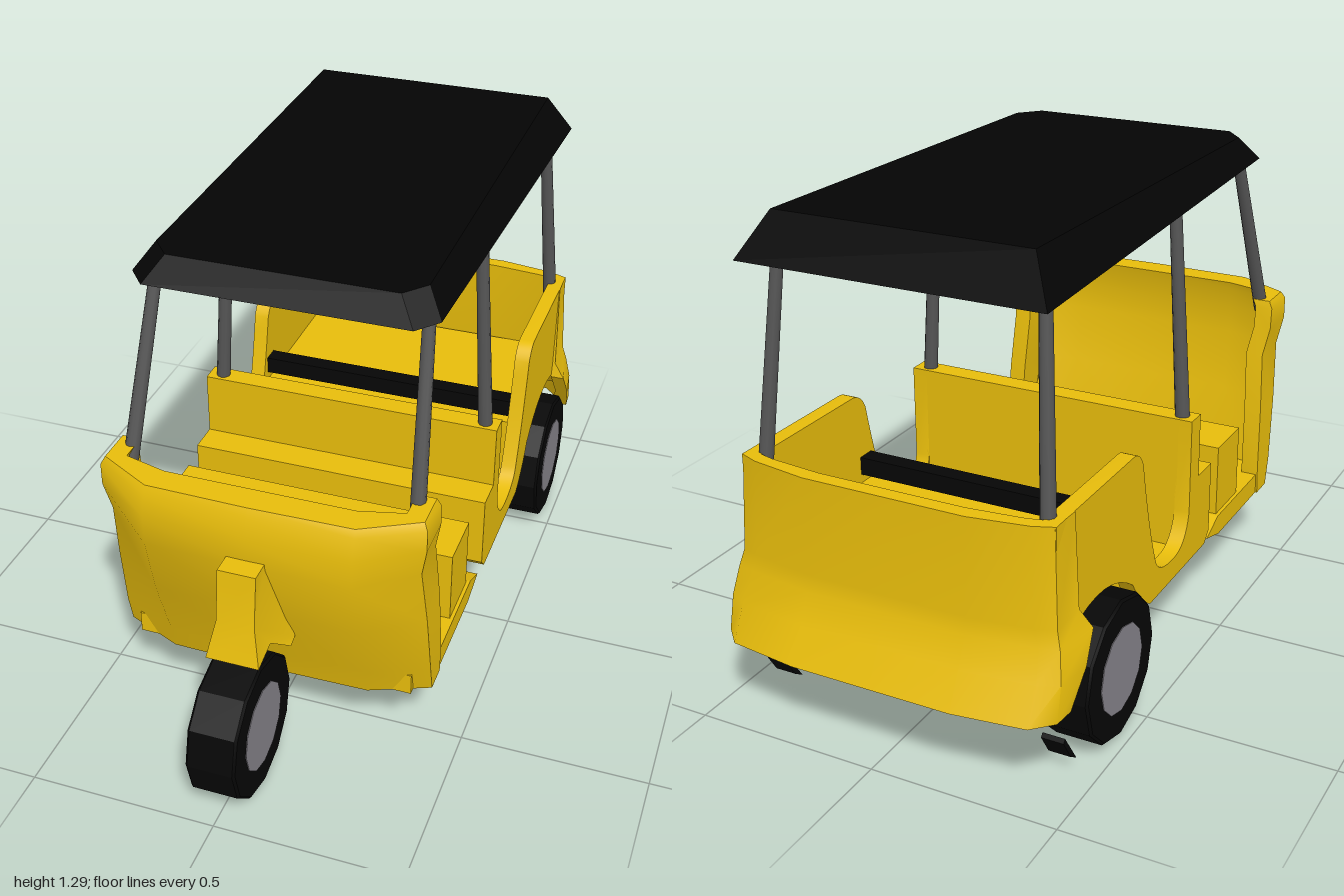
import * as THREE from 'three';
import { toCreasedNormals } from 'three/addons/utils/BufferGeometryUtils.js';

const mat = (name, color, side = THREE.FrontSide) => {
  const m = new THREE.MeshStandardMaterial({ color, side });
  m.name = name;
  return m;
};

export function createModel() {
  const paint = mat('yellow paint', 0xeec20c, THREE.DoubleSide);
  const black = mat('black canopy', 0x040404, THREE.DoubleSide);
  const rubber = mat('black rubber', 0x060606);
  const steel = mat('dark steel', 0x555555);
  const grey = mat('light grey metal', 0x86838a);

  const model = new THREE.Group();
  const add = (name, geometry, material, x = 0, y = 0, z = 0) => {
    const mesh = new THREE.Mesh(geometry, material);
    mesh.name = name;
    mesh.position.set(x, y, z);
    model.add(mesh);
    return mesh;
  };

  // Side profile in (z, y), extruded from x0 to x1
  const slab = (shape, x0, x1) => new THREE.ExtrudeGeometry(shape, { depth: x1 - x0, bevelEnabled: false, curveSegments: 8 })
    .rotateY(-Math.PI / 2).translate(x1, 0, 0);
  const poly = (pts) => new THREE.Shape(pts.map(([z, y]) => new THREE.Vector2(z, y)));

  // Mesh from equal closed loops of [x, y, z], plus extra cap triangles
  const loft = (loops, caps, crease) => {
    const n = loops[0].length;
    const index = [...caps];
    for (let r = 0; r < loops.length - 1; r++) {
      for (let i = 0; i < n; i++) {
        const a = r * n + i, b = r * n + (i + 1) % n;
        index.push(a, b, b + n, a, b + n, a + n);
      }
    }
    const g = new THREE.BufferGeometry();
    g.setAttribute('position', new THREE.Float32BufferAttribute(loops.flat(2), 3));
    g.setIndex(index);
    return toCreasedNormals(g, crease);
  };

  // Thick U-shaped wall: each row has a height and half plans [x, z] from the open end to the middle
  const shell = (rows) => {
    const mirror = (half) => [...half, ...half.slice(0, -1).reverse().map(([x, z]) => [-x, z])];
    const loops = rows.map(({ y, outer, inner }) =>
      [...mirror(outer), ...mirror(inner).reverse()].map(([x, z]) => [x, y, z]));
    const n = loops[0].length;
    const caps = [];
    [0, (rows.length - 1) * n].forEach((o, k) => {
      for (let i = 0; i < n / 2 - 1; i++) {
        const a = o + i, b = a + 1, c = o + n - 2 - i, d = o + n - 1 - i;
        if (k) caps.push(a, b, c, a, c, d);
        else caps.push(a, c, b, a, d, c);
      }
    });
    return loft(loops, caps, 0.75);
  };

  // Front shield, wrapping round to the sides
  const shieldRow = (y, back, side, front, width, innerZ) => ({
    y,
    outer: [[width, back], [width, side], [0.27, front - 0.005], [0, front]],
    inner: [[width - 0.05, back], [width - 0.05, innerZ - 0.03], [0.25, innerZ], [0, innerZ]],
  });
  add('frontShield', shell([
    shieldRow(0.19, 0.47, 0.54, 0.61, 0.425, 0.56),
    shieldRow(0.27, 0.465, 0.56, 0.63, 0.425, 0.57),
    shieldRow(0.45, 0.48, 0.59, 0.695, 0.42, 0.62),
    shieldRow(0.62, 0.50, 0.62, 0.735, 0.41, 0.65),
    shieldRow(0.70, 0.515, 0.635, 0.735, 0.425, 0.65),
    shieldRow(0.76, 0.52, 0.635, 0.72, 0.425, 0.64),
    shieldRow(0.78, 0.525, 0.625, 0.71, 0.415, 0.635),
  ]), paint);

  // Driver floor and seat
  add('driverFloor', slab(poly([[0.53, 0.19], [0.53, 0.25], [0.16, 0.25], [0.08, 0.215], [0.17, 0.19]]), -0.42, 0.42), paint);
  add('footwell', new THREE.BoxGeometry(0.76, 0.06, 0.06), paint, 0, 0.22, 0.55);
  add('driverSeat', new THREE.BoxGeometry(0.82, 0.21, 0.16), paint, 0, 0.35, 0.25);

  // Cover above the front wheel, spreading at the bottom edge
  const cover = slab(poly([[0.79, 0.64], [0.73, 0.64], [0.67, 0.48], [0.67, 0.38], [0.7, 0.37], [0.76, 0.42], [0.84, 0.4], [0.81, 0.5]]), -0.05, 0.05);
  const cp = cover.attributes.position;
  for (let i = 0; i < cp.count; i++) {
    if (cp.getY(i) < 0.43) cp.setX(i, cp.getX(i) * (cp.getZ(i) < 0.72 ? 2 : 1.4));
  }
  add('frontWheelCover', toCreasedNormals(cover, 0.6), paint);

  // Partition with ledge, passenger floor and bench
  add('partition', slab(poly([[0.04, 0.22], [0.07, 0.25], [0.07, 0.455], [-0.02, 0.455], [-0.02, 0.635], [-0.08, 0.635], [-0.08, 0.22]]), -0.39, 0.39), paint);
  add('passengerFloor', new THREE.BoxGeometry(0.78, 0.04, 0.32), paint, 0, 0.24, -0.23);
  add('benchRiser', new THREE.BoxGeometry(0.78, 0.2, 0.02), paint, 0, 0.32, -0.39);
  add('bench', new THREE.BoxGeometry(0.78, 0.03, 0.48), paint, 0, 0.415, -0.62);
  add('benchBar', new THREE.BoxGeometry(0.78, 0.05, 0.05), rubber, 0, 0.48, -0.4);

  // Body sides with the door dip and wheel arch
  const side = new THREE.Shape();
  side.moveTo(0.04, 0.22);
  side.lineTo(0.07, 0.25);
  side.lineTo(0.07, 0.455);
  side.lineTo(-0.02, 0.455);
  side.lineTo(-0.02, 0.635);
  side.lineTo(-0.08, 0.635);
  side.lineTo(-0.08, 0.37);
  side.quadraticCurveTo(-0.1, 0.28, -0.18, 0.28);
  side.quadraticCurveTo(-0.28, 0.28, -0.3, 0.33);
  side.quadraticCurveTo(-0.35, 0.45, -0.39, 0.64);
  side.quadraticCurveTo(-0.41, 0.685, -0.45, 0.685);
  side.lineTo(-0.86, 0.685);
  side.lineTo(-0.86, 0.3);
  side.lineTo(-0.78, 0.38);
  side.quadraticCurveTo(-0.6, 0.45, -0.44, 0.33);
  side.quadraticCurveTo(-0.4, 0.26, -0.33, 0.22);
  for (const s of [1, -1]) {
    const name = s > 0 ? 'left' : 'right';
    const body = slab(side, s > 0 ? 0.385 : -0.428, s > 0 ? 0.428 : -0.385);
    add(name + 'BodySide', toCreasedNormals(body, 0.6), paint);
  }

  // Rear wall, flaring into the skirt
  const rearRow = (y, open, w, corner, cornerW, back) => ({
    y,
    outer: [[w, open], [cornerW, corner], [cornerW - 0.05, back + 0.025], [0.22, back], [0, back]],
    inner: [[w - 0.04, open], [cornerW - 0.04, corner + 0.02], [cornerW - 0.08, back + 0.055], [0.2, back + 0.04], [0, back + 0.04]],
  });
  add('rearWall', shell([
    rearRow(0.22, -0.86, 0.465, -0.92, 0.46, -0.995),
    rearRow(0.31, -0.80, 0.475, -0.9, 0.46, -0.95),
    rearRow(0.385, -0.75, 0.468, -0.88, 0.448, -0.915),
    rearRow(0.43, -0.76, 0.436, -0.87, 0.436, -0.91),
    rearRow(0.685, -0.77, 0.43, -0.86, 0.425, -0.905),
  ]), paint);

  // Canopy: open underneath, with sloping edges and clipped front corners
  const canopyRing = (rearX, rearY, rearZ, frontX, frontY, frontZ) => [
    [rearX, rearY, rearZ], [-rearX, rearY, rearZ],
    [-frontX, frontY, frontZ - 0.06], [-frontX + 0.05, frontY, frontZ],
    [frontX - 0.05, frontY, frontZ], [frontX, frontY, frontZ - 0.06],
  ];
  add('canopy', loft([
    canopyRing(0.408, 1.178, -0.86, 0.39, 1.218, 0.51),
    canopyRing(0.345, 1.292, -0.79, 0.345, 1.282, 0.46),
  ], [6, 7, 8, 6, 8, 11, 11, 8, 9, 11, 9, 10], 0.3), black);

  // Canopy posts
  const post = (name, from, to) => {
    const a = new THREE.Vector3(...from), b = new THREE.Vector3(...to);
    const dir = b.clone().sub(a);
    const m = add(name, new THREE.CylinderGeometry(0.016, 0.02, dir.length(), 10), steel);
    m.position.copy(a).add(b).multiplyScalar(0.5);
    m.quaternion.setFromUnitVectors(new THREE.Vector3(0, 1, 0), dir.normalize());
  };
  for (const s of [1, -1]) {
    post('frontPost', [s * 0.378, 0.74, 0.56], [s * 0.346, 1.235, 0.395]);
    post('middlePost', [s * 0.39, 0.6, -0.05], [s * 0.35, 1.235, -0.05]);
    post('rearPost', [s * 0.39, 0.62, -0.825], [s * 0.35, 1.235, -0.757]);
  }

  // Wheels: twelve-sided tyre with a flat hub
  const wheel = (name, x, z, w) => {
    const h = w / 2;
    const profile = [[0.1, -h], [0.184, -h], [0.19, -h + 0.006], [0.19, h - 0.006], [0.184, h], [0.1, h]];
    const tyre = new THREE.LatheGeometry(profile.map(([r, y]) => new THREE.Vector2(r, y)), 12);
    add(name + 'Tyre', toCreasedNormals(tyre.rotateZ(Math.PI / 2), 0.4), rubber, x, 0.19, z);
    add(name + 'Hub', new THREE.CylinderGeometry(0.117, 0.117, w + 0.004, 12).rotateZ(Math.PI / 2), grey, x, 0.19, z);
  };
  wheel('front', 0, 0.813, 0.13);
  wheel('rearLeft', 0.405, -0.6, 0.136);
  wheel('rearRight', -0.405, -0.6, 0.136);

  // Rear axle with a thicker middle, and the mud flaps
  const axle = [[0.012, -0.34], [0.025, -0.25], [0.025, -0.14], [0.034, -0.12], [0.034, 0.12], [0.025, 0.14], [0.025, 0.25], [0.012, 0.34]];
  add('rearAxle', new THREE.LatheGeometry(axle.map(([r, y]) => new THREE.Vector2(r, y)), 8).rotateZ(Math.PI / 2), grey, 0, 0.142, -0.6);
  for (const s of [1, -1]) {
    add('mudFlap', slab(poly([[-0.82, 0.11], [-0.828, 0.1], [-0.79, 0.04], [-0.76, 0.02]]), s * 0.4 - 0.03, s * 0.4 + 0.03), rubber);
  }
  return model;
}
